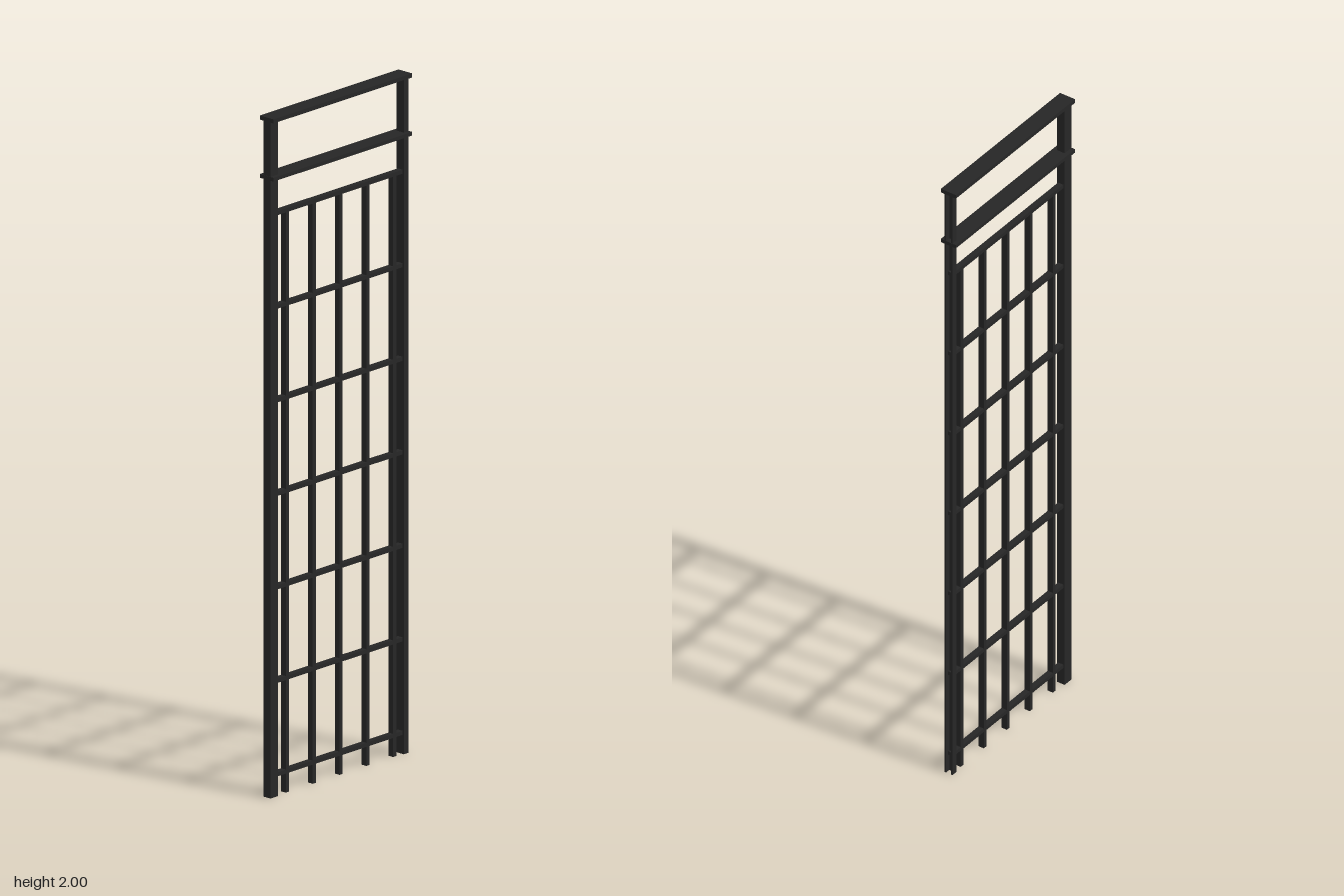
import * as THREE from 'three';

export function createModel() {
  const model = new THREE.Group();
  model.name = 'gridPanel';
  const metal = new THREE.MeshStandardMaterial({ color: 0x262626 });

  // Box given by its width in x and its ranges in y and z
  function bar(name, width, y0, y1, z0, z1, x = 0) {
    const mesh = new THREE.Mesh(new THREE.BoxGeometry(width, y1 - y0, z1 - z0), metal);
    mesh.position.set(x, (y0 + y1) / 2, (z0 + z1) / 2);
    mesh.name = name;
    model.add(mesh);
  }

  // Thick front post
  bar('frontPost', 0.027, 0, 1.99, 0.251, 0.283);

  // Back post: a channel open to the rear
  bar('backPostWeb', 0.027, 0, 1.99, -0.269, -0.264);
  for (const side of [-1, 1]) {
    bar('backPostFlange', 0.005, 0, 1.99, -0.284, -0.269, side * 0.011);
  }

  // Flat rails above the grid
  bar('topRail', 0.052, 1.988, 2, -0.285, 0.284);
  bar('middleRail', 0.052, 1.817, 1.828, -0.285, 0.284);

  // Upright grid bars
  for (let i = 0; i < 5; i++) {
    const z = 0.208 - i * 0.11;
    bar('uprightBar', 0.018, 0, 1.712, z - 0.0065, z + 0.0065);
  }

  // Level grid bars
  for (let i = 0; i < 7; i++) {
    const y = 0.062 + i * 0.275;
    bar('crossBar', 0.018, y - 0.006, y + 0.006, -0.275, 0.255);
  }

  return model;
}
